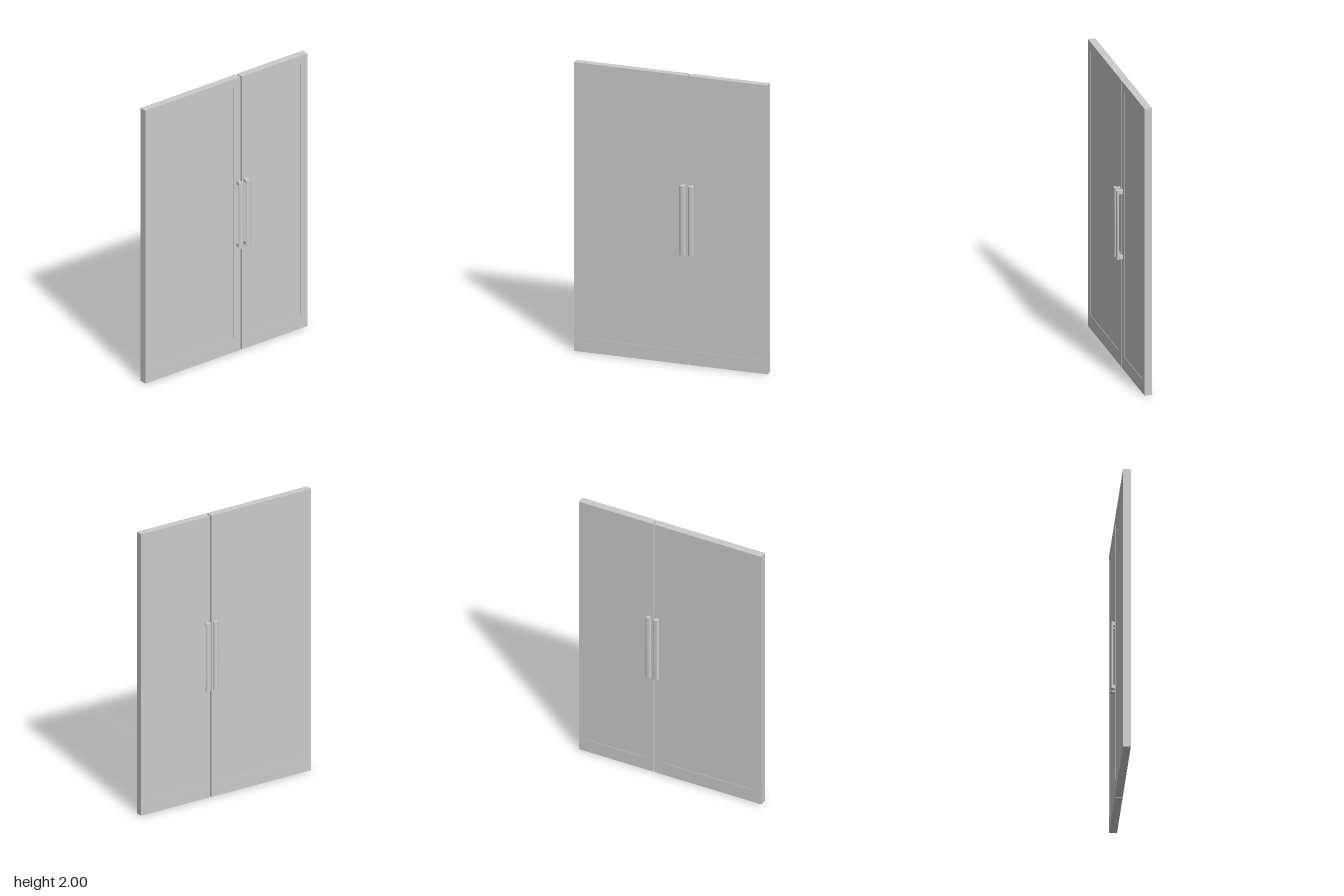
import * as THREE from 'three';
import { toCreasedNormals } from 'three/addons/utils/BufferGeometryUtils.js';

const grey = new THREE.MeshStandardMaterial({ color: 0xcccccc });
const FRONT = 0.018, BACK = -0.033;   // door faces along x
const GAP = -0.122;                   // z of the slit between the leaves

function addMesh(parent, name, geometry) {
  const mesh = new THREE.Mesh(geometry, grey);
  mesh.name = name;
  parent.add(mesh);
  return mesh;
}

// One leaf: a frame with a very slightly sunk panel on both faces
function makeLeaf(name, z0, z1) {
  const leaf = new THREE.Group();
  leaf.name = name;
  const side = 0.055, bottom = 0.095, top = 1.94, sunk = 0.003;
  const rect = (path, a, b, c, d) =>
    path.moveTo(a, b).lineTo(c, b).lineTo(c, d).lineTo(a, d).closePath();

  const outline = new THREE.Shape();
  rect(outline, z0, 0, z1, 2);
  const opening = new THREE.Path();
  rect(opening, z0 + side, bottom, z1 - side, top);
  outline.holes.push(opening);
  const frame = new THREE.ExtrudeGeometry(outline, { depth: FRONT - BACK, bevelEnabled: false });
  frame.rotateY(-Math.PI / 2).translate(FRONT, 0, 0);
  addMesh(leaf, name + 'Frame', frame);

  const panel = new THREE.BoxGeometry(FRONT - BACK - 2 * sunk, top - bottom, z1 - z0 - 2 * side);
  panel.translate((FRONT + BACK) / 2, (top + bottom) / 2, (z0 + z1) / 2);
  addMesh(leaf, name + 'Panel', panel);
  return leaf;
}

// Extrudes a plan outline upward from y0
function extrudeUp(shape, y0, height) {
  const g = new THREE.ExtrudeGeometry(shape, { depth: height, bevelEnabled: false, curveSegments: 8 });
  g.rotateX(-Math.PI / 2).translate(0, y0, 0);
  return toCreasedNormals(g, 0.6);
}

// Pull handle: rounded flat grip held by two flared posts
function makeHandle(name, z, faceAngle) {
  const handle = new THREE.Group();
  handle.name = name;
  const y0 = 0.768, y1 = 1.248, post = 0.026;

  const grip = new THREE.Shape();
  grip.moveTo(0.047, -0.018);
  grip.quadraticCurveTo(0.051, -0.022, 0.056, -0.018);
  grip.quadraticCurveTo(0.07, 0, 0.056, 0.018);
  grip.quadraticCurveTo(0.051, 0.022, 0.047, 0.018);
  grip.quadraticCurveTo(0.044, 0, 0.047, -0.018);
  addMesh(handle, name + 'Grip', extrudeUp(grip, y0, y1 - y0));

  const stem = new THREE.Shape();
  stem.moveTo(0.005, -0.01).lineTo(0.036, -0.01);
  stem.quadraticCurveTo(0.043, -0.011, 0.048, -0.018);
  stem.lineTo(0.048, 0.018);
  stem.quadraticCurveTo(0.043, 0.011, 0.036, 0.01);
  stem.lineTo(0.005, 0.01).closePath();
  addMesh(handle, name + 'LowerPost', extrudeUp(stem, y0, post));
  addMesh(handle, name + 'UpperPost', extrudeUp(stem, y1 - post, post));

  handle.position.z = z;
  handle.rotation.y = faceAngle;
  return handle;
}

export function createModel() {
  const model = new THREE.Group();
  model.name = 'doubleDoor';
  model.add(makeLeaf('wideLeaf', GAP + 0.005, 0.67));
  model.add(makeLeaf('narrowLeaf', -0.67, GAP - 0.005));

  // A pull on both faces of each leaf, beside the slit
  for (const [leaf, offset] of [['wide', 0.028], ['narrow', -0.03]]) {
    model.add(makeHandle(leaf + 'OuterHandle', GAP + offset, 0));
    model.add(makeHandle(leaf + 'InnerHandle', GAP + offset, Math.PI));
  }
  return model;
}
